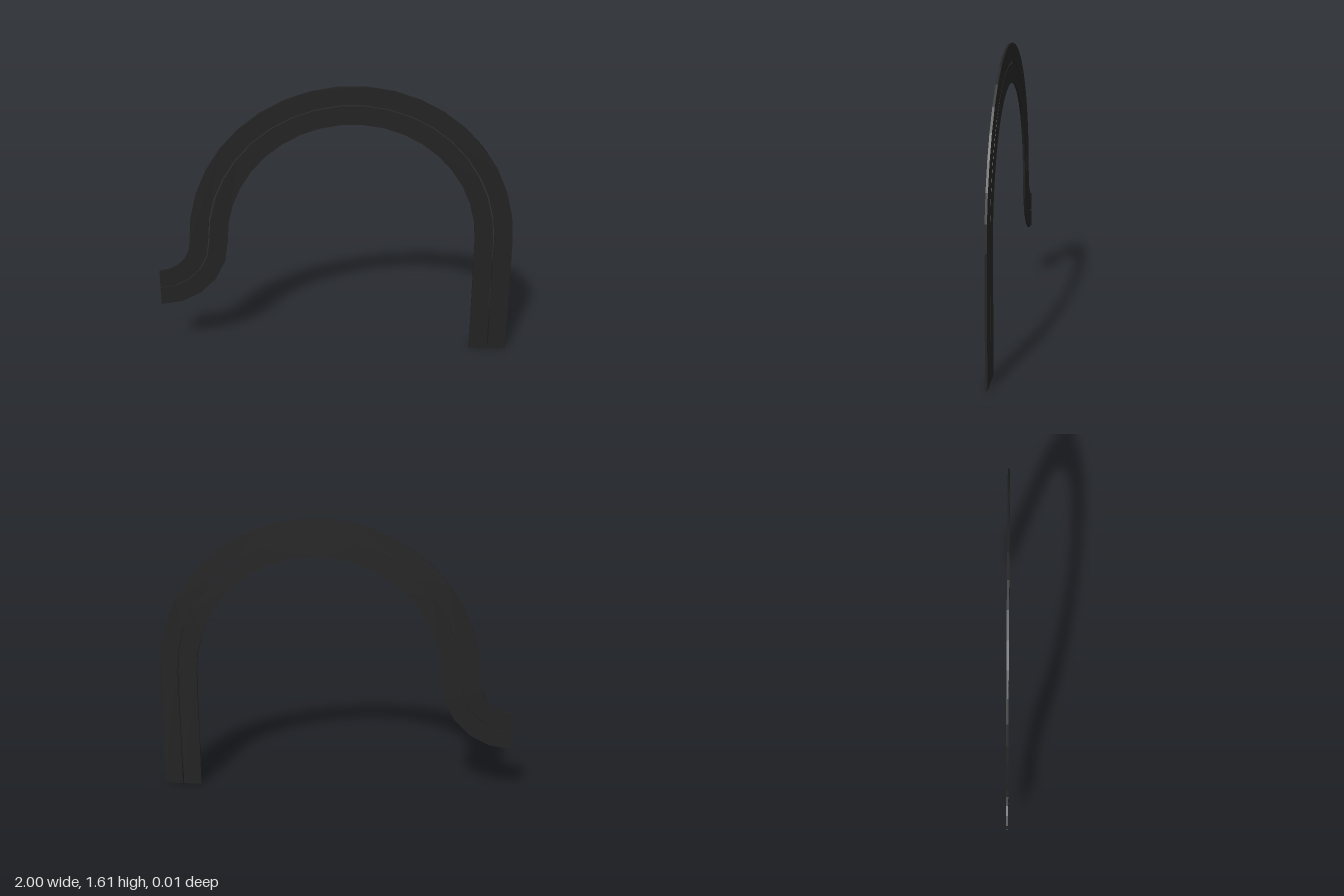
import * as THREE from 'three';

const THICK = 0.012; // sheet thickness
const HALF = 0.107; // half width of the whole band
const GAP = 0.0035; // half width of the centre slit
const Y0 = 0.7; // height where straight and arcs meet

// Centre line shifted outward by d: straight leg, large arch, small reverse bend
function offsetLine(d) {
  const pts = [new THREE.Vector2(0.893 + d, 0)];
  const arc = (cx, r, from, to, n, first) => {
    for (let i = first; i <= n; i++) {
      const a = from + (to - from) * i / n;
      pts.push(new THREE.Vector2(cx + r * Math.cos(a), Y0 + r * Math.sin(a)));
    }
  };
  arc(0.0905, 0.8025 + d, 0, Math.PI, 19, 0);
  arc(-1, 0.288 - d, 0, -Math.PI / 2, 5, 1);
  return pts;
}

// Flat strip between two offsets of the centre line
function strip(name, inner, outer, material) {
  const shape = new THREE.Shape([...offsetLine(outer), ...offsetLine(inner).reverse()]);
  const geo = new THREE.ExtrudeGeometry(shape, { depth: THICK, bevelEnabled: false });
  geo.translate(0, 0, -THICK / 2);
  const mesh = new THREE.Mesh(geo, material);
  mesh.name = name;
  return mesh;
}

export function createModel() {
  const group = new THREE.Group();
  group.name = 'curvedBand';
  const material = new THREE.MeshStandardMaterial({ color: 0x222222 });
  group.add(strip('outerStrip', GAP, HALF, material));
  group.add(strip('innerStrip', -HALF, -GAP, material));
  return group;
}
